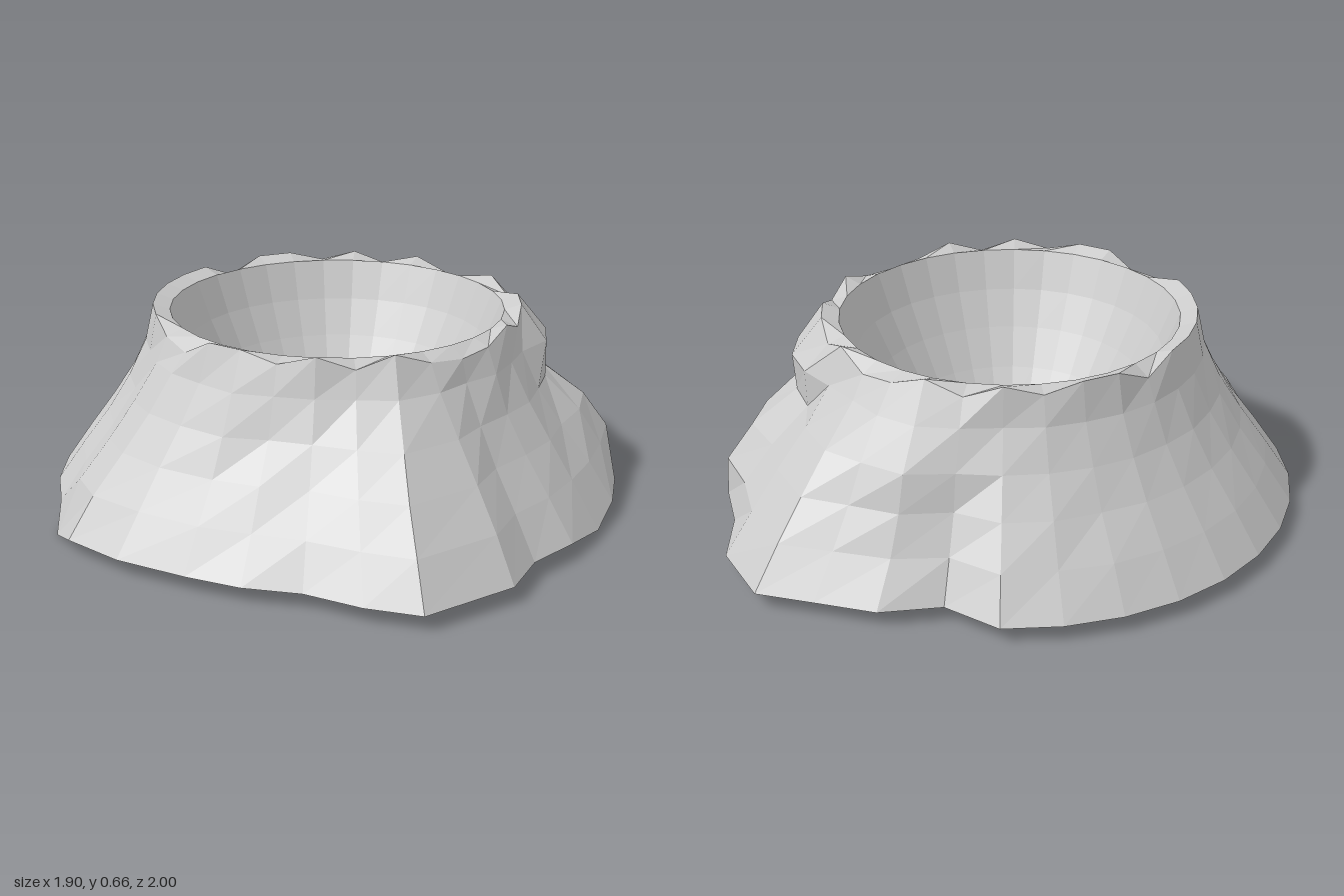
import * as THREE from 'three';

const SIDES = 32;
const CENTRE_Z = -0.05;

function seeded(seed) {
  let s = seed;
  return () => {
    s = (s * 16807) % 2147483647;
    return s / 2147483647 - 0.5;
  };
}

// Point at a column (clockwise from the back), radius and height
function polar(column, r, y) {
  const angle = (column / SIDES) * Math.PI * 2;
  return [r * Math.sin(angle), y, CENTRE_Z - r * Math.cos(angle)];
}

const ring = (fn) => Array.from({ length: SIDES }, (_, i) => fn(i));

// Skin a stack of closed rings, listed from the bottom up
function loft(rings) {
  const index = [];
  for (let j = 0; j < rings.length - 1; j++) {
    for (let i = 0; i < SIDES; i++) {
      const a = j * SIDES + i, b = j * SIDES + (i + 1) % SIDES;
      index.push(b, a, a + SIDES, b, a + SIDES, b + SIDES);
    }
  }
  const geo = new THREE.BufferGeometry();
  geo.setAttribute('position', new THREE.Float32BufferAttribute(rings.flat(2), 3));
  geo.setIndex(index);
  geo.computeVertexNormals();
  return geo;
}

export function createModel() {
  const group = new THREE.Group();
  group.name = 'volcano';
  const rock = new THREE.MeshStandardMaterial({
    color: 0xcccccc, flatShading: true, side: THREE.DoubleSide,
  });
  const add = (name, geo) => {
    const mesh = new THREE.Mesh(geo, rock);
    mesh.name = name;
    group.add(mesh);
    return mesh;
  };
  const rand = seeded(7);

  // Slope profile [radius, height, share of the foot's bulge carried upwards]
  const profile = [
    [0.95, 0.05, 1], [0.86, 0.18, 0.95], [0.77, 0.3, 0.85],
    [0.695, 0.416, 0.6], [0.637, 0.538, 0.2], [0.61, 0.66, 0],
  ];
  // Foot bulge [extra radius, sideways shift in columns] for uneven columns
  const foot = {
    1: [-0.09, 0], 3: [0.05, 0], 4: [0.13, -0.17], 5: [0.09, 0],
    13: [0.09, -0.2], 14: [0.16, 0.32], 15: [0.085, 0.1],
    19: [0.035, 0.27], 20: [0.07, 0.36], 21: [0.05, 0.16],
  };
  // Outward ledges on the rugged back and left flank, per row
  const ledges = {
    1: [0, 0.02, 0.04, 0.06, 0.04, 0], 2: [0, 0, 0.02, 0.06, 0.05, 0],
    3: [0, 0, 0.01, 0.03, 0.03, 0], 6: [0, 0.04, 0.04, 0, 0.05, 0],
    7: [0, 0.08, 0.08, 0.01, 0.07, 0], 8: [0, 0.03, 0.04, 0.01, 0.06, 0],
    18: [0, 0.01, 0.02, 0.03, 0.02, 0],
  };
  // Heights of the sunken points of the foot and the rim
  const sunk = { 10: 0.025, 21: 0 };
  const notches = {
    1: 0.62, 3: 0.62, 4: 0.61, 6: 0.62, 9: 0.62, 11: 0.62, 12: 0.61, 13: 0.62,
    15: 0.62, 17: 0.63, 20: 0.6, 21: 0.62, 28: 0.61, 31: 0.63,
  };
  const heights = { 0: sunk, 5: notches };

  const rings = profile.map(([radius, height, carry], row) => ring((i) => {
    const [bulge, shift] = foot[i] ?? [0, 0];
    const rough = row > 0 && row < 5 ? (i > 22 && i < 30 ? 0.004 : 0.016) : 0;
    const r = radius + bulge * carry + (ledges[i]?.[row] ?? 0) + rand() * rough;
    return polar(i + shift * carry, r, heights[row]?.[i] ?? height);
  }));

  // Jagged lip around the even crater edge
  rings.push(ring((i) => polar(i, 0.555, 0.64)));
  add('outerSlopeAndRim', loft(rings));

  const lathe = (points) =>
    new THREE.LatheGeometry(points.map(([r, y]) => new THREE.Vector2(r, y)), SIDES);

  // Crater bowl, open underneath
  add('craterBowl', lathe([
    [0.29, 0.14], [0.37, 0.265], [0.442, 0.39], [0.503, 0.51], [0.555, 0.64],
  ])).position.z = CENTRE_Z;

  // Shallow dome closing the crater floor
  add('craterFloor', lathe([
    [0.29, 0.14], [0.2, 0.177], [0.1, 0.2], [0, 0.21],
  ])).position.z = CENTRE_Z;

  return group;
}
